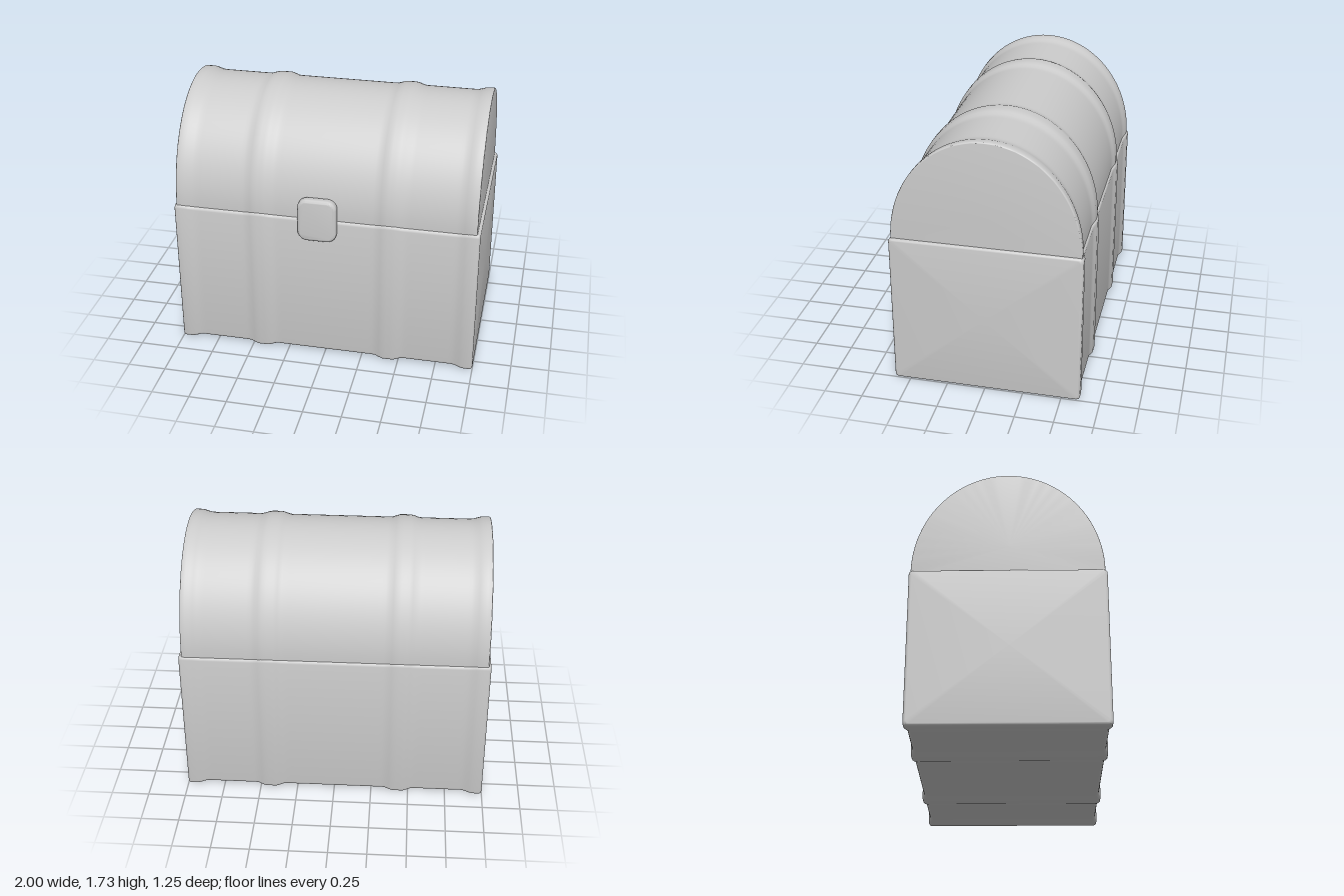
import * as THREE from 'three';
import { toCreasedNormals } from 'three/addons/utils/BufferGeometryUtils.js';

const grey = new THREE.MeshStandardMaterial({ color: 0xcccccc });

// Raised bands: two inner straps and one at each end (1 on a band, 0 between)
function band(x) {
  const ax = Math.abs(x);
  const inner = THREE.MathUtils.smoothstep(0.1 - Math.abs(ax - 0.43), 0, 0.07);
  const end = THREE.MathUtils.smoothstep(ax, 0.86, 0.94);
  return Math.max(inner, end);
}

// Stations along x with the inset of each cross-section; the ends are rounded over
function stations(x0, x1, depth, round) {
  const list = [];
  const n = 80;
  const steps = 5;
  for (let i = 0; i <= steps; i++) {
    const a = (i / steps) * Math.PI / 2;
    list.push([x0 + round * (1 - Math.sin(a)), round * (1 - Math.cos(a))]);
  }
  list.reverse();
  list.forEach(s => { s[1] = round - s[1]; });
  list.length = 0;
  for (let i = 0; i <= steps; i++) {
    const a = (i / steps) * Math.PI / 2;
    list.push([x0 + round * (1 - Math.cos(a)), round * (1 - Math.sin(a))]);
  }
  for (let i = 1; i < n; i++) {
    const x = THREE.MathUtils.lerp(x0 + round, x1 - round, i / n);
    list.push([x, depth * (1 - band(x))]);
  }
  for (let i = steps; i >= 0; i--) {
    const a = (i / steps) * Math.PI / 2;
    list.push([x1 - round * (1 - Math.cos(a)), round * (1 - Math.sin(a))]);
  }
  return list;
}

// Loft closed [z, y] outlines along x and cap both ends
function loft(list, outline, centre) {
  const rings = list.map(([x, inset]) => outline(inset).map(([z, y]) => [x, y, z]));
  const pos = [];
  const tri = (a, b, c) => pos.push(...a, ...b, ...c);
  const n = rings[0].length;
  const first = rings[0], last = rings[rings.length - 1];
  const capA = [first[0][0], centre[1], centre[0]];
  const capB = [last[0][0], centre[1], centre[0]];
  for (let j = 0; j < n; j++) {
    const k = (j + 1) % n;
    for (let i = 0; i < rings.length - 1; i++) {
      const p = rings[i], q = rings[i + 1];
      tri(p[j], p[k], q[j]);
      tri(p[k], q[k], q[j]);
    }
    tri(capA, first[k], first[j]);
    tri(capB, last[j], last[k]);
  }
  const geo = new THREE.BufferGeometry();
  geo.setAttribute('position', new THREE.Float32BufferAttribute(pos, 3));
  return toCreasedNormals(geo, 0.7);
}

// Rounded rectangle section of the box
function boxOutline(inset) {
  const r = 0.022, cz = -0.007, hz = 0.613 - inset, cy = 0.515, hy = 0.515 - inset * 0.8;
  const pts = [];
  [[-1, 1], [1, 1], [1, -1], [-1, -1]].forEach(([sz, sy], c) => {
    for (let i = 0; i <= 4; i++) {
      const a = (c + i / 4) * Math.PI / 2;
      pts.push([cz + sz * (hz - r) - r * Math.cos(a), cy + sy * (hy - r) + r * Math.sin(a)]);
    }
  });
  return pts;
}

// Half-ellipse section of the lid, with a short foot sunk into the box
function lidOutline(inset) {
  const cz = -0.008, rz = 0.602 - inset, ry = 0.7 - inset, pts = [];
  for (let i = 0; i <= 48; i++) {
    const a = i / 48 * Math.PI;
    pts.push([cz - rz * Math.cos(a), 1.03 + ry * Math.sin(a)]);
  }
  pts.push([cz + rz, 1.0], [cz - rz, 1.0]);
  return pts;
}

// Rounded plate with soft bevelled rim
function latchGeometry() {
  const w = 0.215, h = 0.255, r = 0.045, b = 0.02;
  const s = new THREE.Shape();
  s.moveTo(-w / 2 + r, -h / 2);
  s.absarc(w / 2 - r, -h / 2 + r, r, -Math.PI / 2, 0);
  s.absarc(w / 2 - r, h / 2 - r, r, 0, Math.PI / 2);
  s.absarc(-w / 2 + r, h / 2 - r, r, Math.PI / 2, Math.PI);
  s.absarc(-w / 2 + r, -h / 2 + r, r, Math.PI, Math.PI * 1.5);
  const geo = new THREE.ExtrudeGeometry(s, {
    depth: 0.025, bevelEnabled: true, bevelSize: b, bevelThickness: b, bevelSegments: 5, curveSegments: 8,
  });
  return toCreasedNormals(geo, 0.7);
}

export function createModel() {
  const group = new THREE.Group();
  const add = (name, geo) => {
    const mesh = new THREE.Mesh(geo, grey);
    mesh.name = name;
    group.add(mesh);
    return mesh;
  };
  add('chestBody', loft(stations(-1, 1, 0.016, 0.018), boxOutline, [0, 0.515]));
  add('domedLid', loft(stations(-0.985, 0.98, 0.018, 0.008), lidOutline, [0, 1.2]));
  add('latch', latchGeometry()).position.set(-0.043, 1.022, 0.58);
  return group;
}
